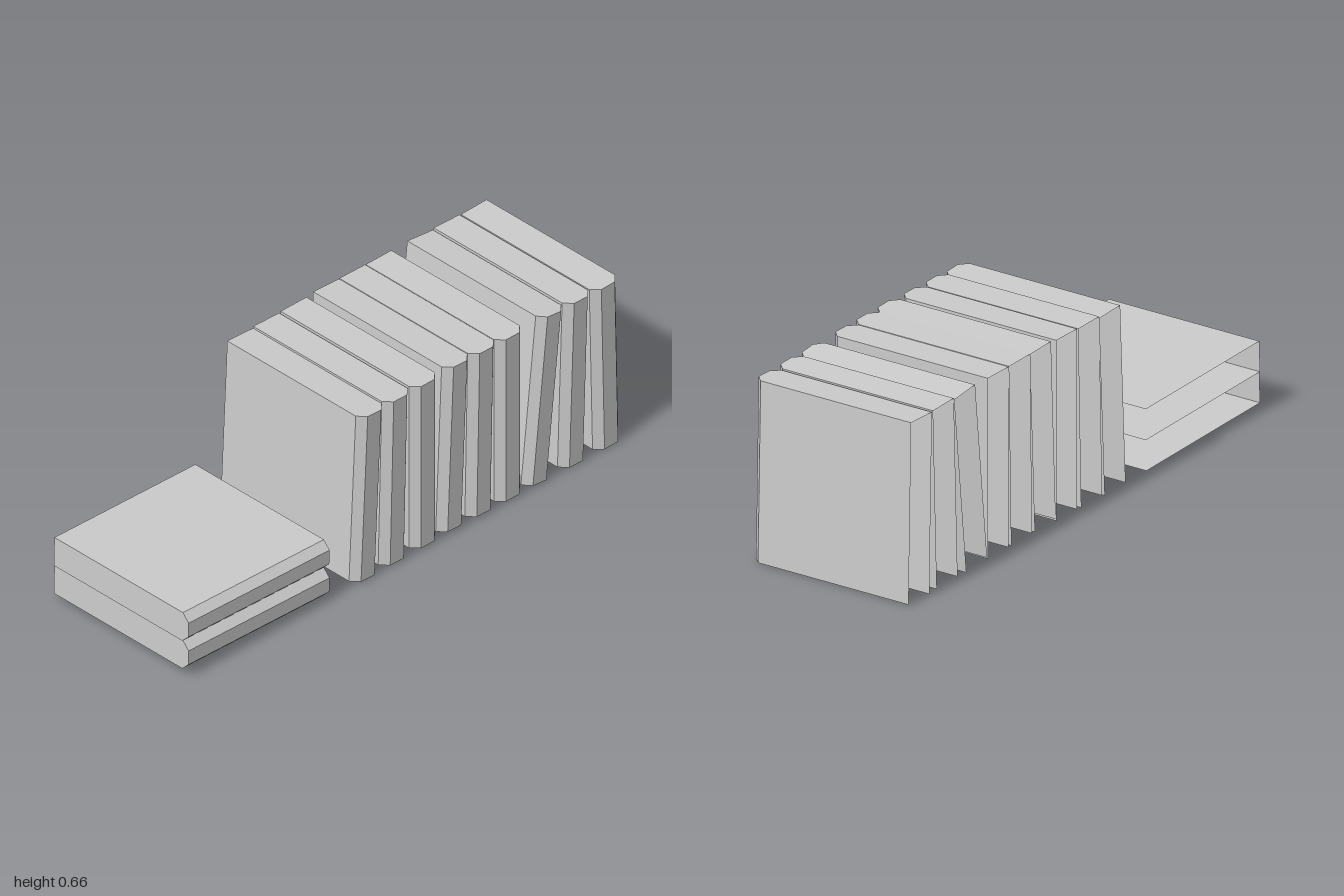
import * as THREE from 'three';

const material = new THREE.MeshStandardMaterial({ color: 0xcccccc, flatShading: true, side: THREE.DoubleSide });
const HEIGHT = 0.647, BACK = -0.318, FRONT = 0.318, BEVEL = 0.028;

// Hollow book: two covers, a bevelled spine and one closed end; the other end and the back are open.
// Local origin is the middle of the open end, the spine faces +z.
function bookGeometry(thickness) {
  const w = thickness / 2;
  const outline = [
    [-w, BACK], [-w, FRONT - BEVEL], [-w + BEVEL, FRONT],
    [w - BEVEL, FRONT], [w, FRONT - BEVEL], [w, BACK],
  ];
  const positions = [];
  const tri = (...corners) => corners.forEach((c) => positions.push(...c));
  const at = (i, y) => [outline[i][0], y, outline[i][1]];

  // covers and spine facets
  for (let i = 0; i < outline.length - 1; i++) {
    const a = at(i, 0), b = at(i + 1, 0), c = at(i + 1, HEIGHT), d = at(i, HEIGHT);
    tri(a, b, c);
    tri(a, c, d);
  }
  // closed end
  for (let i = 1; i < outline.length - 1; i++) tri(at(0, HEIGHT), at(i, HEIGHT), at(i + 1, HEIGHT));

  const geometry = new THREE.BufferGeometry();
  geometry.setAttribute('position', new THREE.Float32BufferAttribute(positions, 3));
  geometry.computeVertexNormals();
  return geometry;
}

export function createModel() {
  const model = new THREE.Group();
  model.name = 'books';

  const addBook = (parent, name, geometry, x, y, angle) => {
    const book = new THREE.Mesh(geometry, material);
    book.name = name;
    book.position.set(x, y, 0);
    book.rotation.z = angle;
    parent.add(book);
  };

  // upright row: x and y of the foot, lean towards +x
  const row = new THREE.Group();
  row.name = 'standingBooks';
  const upright = bookGeometry(0.118);
  [
    [-0.179, 0.007, 0.048], [-0.045, 0.009, 0.025], [0.097, 0.01, 0],
    [0.219, 0.015, 0.042], [0.353, 0.012, 0.02], [0.487, 0.01, 0],
    [0.61, 0.01, 0.105], [0.778, 0.005, 0.033], [0.939, 0.002, -0.023],
  ].forEach(([x, y, lean], i) => addBook(row, `standingBook${i + 1}`, upright, x, y, -lean));
  model.add(row);

  // two books lying flat, closed end towards -x
  const stack = new THREE.Group();
  stack.name = 'lyingBooks';
  const flat = bookGeometry(0.111);
  [0.066, 0.177].forEach((y, i) =>
    addBook(stack, `lyingBook${i + 1}`, flat, -0.355, y, Math.PI / 2 - 0.028));
  model.add(stack);

  return model;
}
